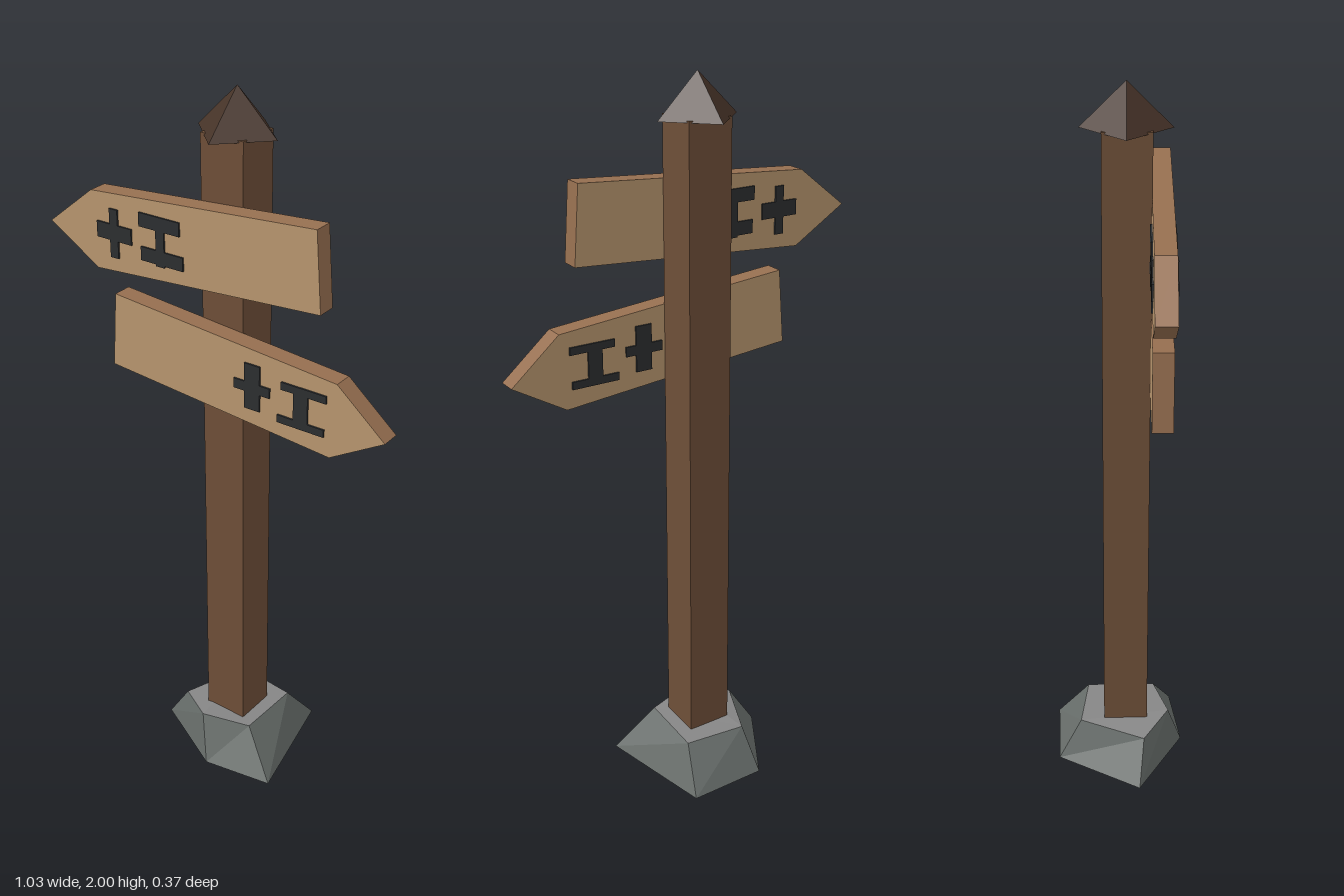
import * as THREE from 'three';

const mat = (name, color, extra = {}) => {
  const m = new THREE.MeshStandardMaterial({ color, flatShading: true, ...extra });
  m.name = name;
  return m;
};

export function createModel() {
  const group = new THREE.Group();
  group.name = 'signpost';
  const postWood = mat('post wood', 0x6e4f38);
  const capWood = mat('dark cap wood', 0x463328);
  const boardFace = mat('board face', 0xb8966e);
  const boardEdge = mat('board edge', 0x966f50);
  const paint = mat('mark paint', 0x2c2e30);
  const stone = mat('stone', 0x676d6a, { side: THREE.DoubleSide });
  const stoneTop = mat('stone top', 0x868686, { side: THREE.DoubleSide });

  const add = (name, geometry, material, x = 0, y = 0, z = 0, parent = group) => {
    const mesh = new THREE.Mesh(geometry, material);
    mesh.name = name;
    mesh.position.set(x, y, z);
    parent.add(mesh);
    return mesh;
  };

  // Square post with a four-sided pointed cap turned 45 degrees to it
  add('post', new THREE.BoxGeometry(0.126, 1.87, 0.126), postWood, 0, 0.955, 0.016);
  add('postCap', new THREE.ConeGeometry(0.117, 0.115, 4), capWood, 0, 1.9425, 0.014);

  // Arrow boards with bars showing slightly on both sides: [x0, x1, y0, y1]
  const board = (name, outline, bars) => {
    const sign = new THREE.Group();
    sign.name = name;
    group.add(sign);
    const shape = new THREE.Shape(outline.map(([x, y]) => new THREE.Vector2(x, y)));
    const geo = new THREE.ExtrudeGeometry(shape, { depth: 0.054, bevelEnabled: false });
    add(name + 'Plank', geo, [boardFace, boardEdge], 0, 0, 0.078, sign);
    for (const [x0, x1, y0, y1] of bars) {
      for (const z of [0.0765, 0.1335]) {
        add('paintedBar', new THREE.BoxGeometry(x1 - x0, y1 - y0, 0.007), paint,
          (x0 + x1) / 2, (y0 + y1) / 2, z, sign);
      }
    }
  };
  board('upperSign',
    [[-0.515, 1.581], [-0.36, 1.485], [0.323, 1.533], [0.307, 1.745], [-0.373, 1.695]],
    [[-0.354, -0.243, 1.575, 1.618], [-0.312, -0.286, 1.528, 1.66],
      [-0.217, -0.09, 1.634, 1.671], [-0.212, -0.08, 1.544, 1.581], [-0.164, -0.138, 1.539, 1.671]]);
  board('lowerSign',
    [[0.515, 1.247], [0.376, 1.366], [-0.307, 1.424], [-0.323, 1.215], [0.36, 1.156]],
    [[0.074, 0.183, 1.268, 1.295], [0.106, 0.153, 1.22, 1.347],
      [0.217, 0.349, 1.305, 1.326], [0.206, 0.344, 1.21, 1.231], [0.254, 0.296, 1.21, 1.326]]);

  // Rough five-sided stone, open underneath
  const low = [[-0.089, 0, -0.18], [0.136, 0, -0.19], [0.205, 0, 0.153], [0.003, 0, 0.183], [-0.225, 0, 0.058]];
  const high = [[-0.07, 0.125, -0.115], [0.105, 0.122, -0.097], [0.1, 0.13, 0.1], [-0.037, 0.138, 0.142], [-0.148, 0.12, 0.07]];
  const fromPoints = (points) => {
    const geo = new THREE.BufferGeometry();
    geo.setAttribute('position', new THREE.Float32BufferAttribute(points.flat(), 3));
    geo.computeVertexNormals();
    return geo;
  };
  const sides = [];
  const top = [];
  for (let i = 0; i < 5; i++) {
    const j = (i + 1) % 5;
    sides.push(low[j], low[i], high[i], low[j], high[i], high[j]);
    if (i > 0 && i < 4) top.push(high[0], high[j], high[i]);
  }
  add('stoneSides', fromPoints(sides), stone);
  add('stoneTop', fromPoints(top), stoneTop);

  return group;
}
